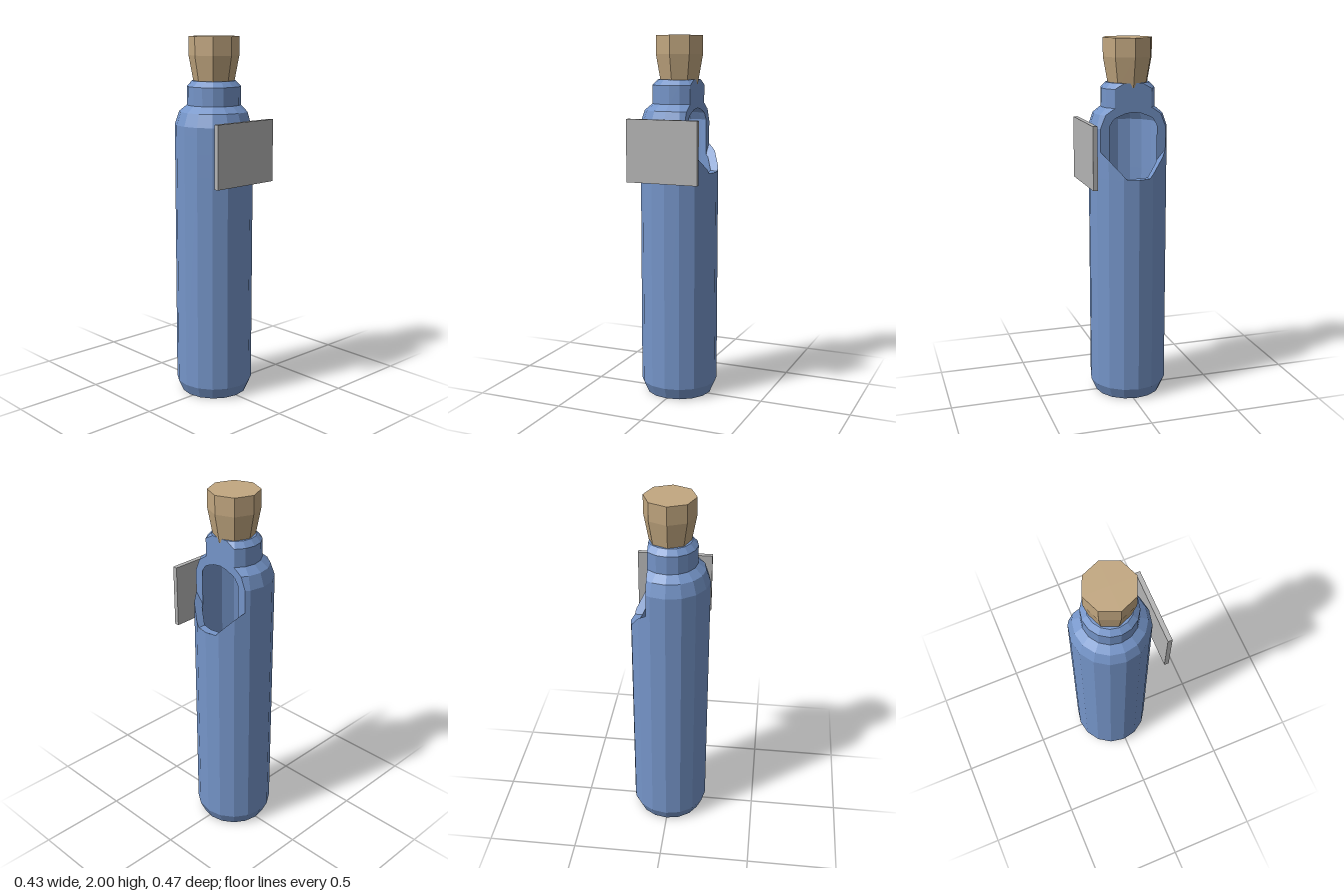
import * as THREE from 'three';

const SIDES = 16, CUT_X = 0.105, CUT_Y = 1.265, CAVITY_TOP = 1.612, TOP = 1.765;

// Profiles as [radius, height]
const outerProfile = [[0.185, 0], [0.214, 0.065], [0.214, 1.53], [0.19, 1.6], [0.147, 1.635], [0.147, 1.735], [0.118, TOP]];
const innerProfile = [[0.155, 0.06], [0.172, 0.12], [0.172, 1.54], [0.15, 1.58], [CUT_X, CAVITY_TOP]];

function radiusAt(profile, y) {
  for (let i = 1; i < profile.length; i++) {
    const [r0, y0] = profile[i - 1], [r1, y1] = profile[i];
    if (y <= y1) return r0 + (r1 - r0) * Math.max(0, (y - y0) / (y1 - y0));
  }
  return profile[profile.length - 1][0];
}

// Half width of the side opening at a height
function cutWidth(y) {
  if (y < CUT_Y) return 0;
  return y < 1.405 ? 0.0625 + (y - CUT_Y) / 0.14 * 0.12 : 0.3;
}

// Point on a regular polygon of the given circumradius
function polyPoint(r, angle, y) {
  const step = 2 * Math.PI / SIDES;
  const k = Math.floor(angle / step + 1e-9), t = angle - k * step;
  const d = r * Math.cos(step / 2) / Math.cos(t - step / 2);
  return [d * Math.cos(angle), y, d * Math.sin(angle)];
}

// Angle at which the wall meets the opening
function cutAngle(r, y) {
  const inside = (a) => { const p = polyPoint(r, a, y); return p[0] > CUT_X && p[2] < cutWidth(y); };
  if (!inside(0)) return 0;
  let lo = 0, hi = Math.PI / 2;
  for (let i = 0; i < 40; i++) {
    const mid = (lo + hi) / 2;
    if (inside(mid)) lo = mid; else hi = mid;
  }
  return lo;
}

function wallRow(r, y) {
  const a0 = cutAngle(r, y);
  return Array.from({ length: SIDES + 1 }, (_, i) =>
    polyPoint(r, Math.min(Math.max(i * 2 * Math.PI / SIDES, a0), 2 * Math.PI - a0), y));
}

// Surface through rows of points
function skin(rows, flip = false) {
  const pos = [];
  const tri = (a, b, c) => (flip ? pos.push(...a, ...c, ...b) : pos.push(...a, ...b, ...c));
  for (let j = 0; j + 1 < rows.length; j++) {
    for (let i = 0; i + 1 < rows[j].length; i++) {
      const a = rows[j][i], b = rows[j][i + 1], c = rows[j + 1][i], d = rows[j + 1][i + 1];
      tri(a, c, b);
      tri(b, c, d);
    }
  }
  const g = new THREE.BufferGeometry();
  g.setAttribute('position', new THREE.Float32BufferAttribute(pos, 3));
  g.computeVertexNormals();
  return g;
}

const mirrorZ = ([x, y, z]) => [x, y, -z];

export function createModel() {
  const model = new THREE.Group();
  const mat = (name, color) => Object.assign(new THREE.MeshStandardMaterial({ color, flatShading: true }), { name });
  const glass = mat('blue bottle', 0x7595c9);
  const corkMat = mat('cork tan', 0xc2a780);
  const labelMat = mat('label grey', 0xb4b4b4);
  const add = (parent, name, geometry, material) => {
    const m = new THREE.Mesh(geometry, material);
    m.name = name;
    parent.add(m);
    return m;
  };

  const bottle = new THREE.Group();
  bottle.name = 'bottle';
  bottle.position.z = -0.02;
  model.add(bottle);

  // Heights sampled around the opening, plus every profile height
  const cutHeights = [];
  for (let i = 0; i <= 36; i++) cutHeights.push(CUT_Y + i * 0.01);
  const heights = (profile) => [...new Set([...cutHeights, CUT_Y - 0.0001, 1.4049, ...profile.map((p) => p[1])])]
    .filter((y) => y >= profile[0][1] && y <= profile[profile.length - 1][1]).sort((a, b) => a - b);

  // Outer and inner walls with their end caps
  const wall = (profile, flip) => {
    const ys = heights(profile), end = ys[ys.length - 1];
    return skin([wallRow(0, ys[0]), ...ys.map((y) => wallRow(radiusAt(profile, y), y)), wallRow(0, end)], flip);
  };
  add(bottle, 'outerWall', wall(outerProfile, false), glass);
  add(bottle, 'innerWall', wall(innerProfile, true), glass);

  // Cut faces joining outer and inner walls on both sides of the opening
  const edge = (profile, y) => {
    const r = radiusAt(profile, y);
    return polyPoint(r, cutAngle(r, y), y);
  };
  const rimYs = [...new Set([...heights(outerProfile), CAVITY_TOP])].filter((y) => y >= CUT_Y).sort((a, b) => a - b);
  const rimRows = rimYs.map((y) => {
    const o = edge(outerProfile, y);
    let n = edge(innerProfile, y);
    if (y >= CAVITY_TOP) n = [CUT_X, y, 0];
    return [n, [n[0], y, o[2]], o];
  });
  rimRows.push([0, 1, 2].map(() => [0, TOP, 0]));
  add(bottle, 'openingRimFront', skin(rimRows), glass);
  add(bottle, 'openingRimBack', skin(rimRows.map((row) => row.map(mirrorZ).reverse())), glass);

  // Flat sill below the opening
  const sillRow = (profile) => {
    const e = edge(profile, CUT_Y);
    return [mirrorZ(e), [radiusAt(profile, CUT_Y), CUT_Y, 0], e];
  };
  add(bottle, 'openingSill', skin([sillRow(outerProfile), sillRow(innerProfile)]), glass);

  // Tapered eight-sided stopper
  const stopperUpper = new THREE.CylinderGeometry(0.137, 0.137, 0.1, 8, 1);
  const stopperLower = new THREE.CylinderGeometry(0.137, 0.107, 0.16, 8, 1);
  add(bottle, 'stopperUpper', stopperUpper, corkMat).position.y = 1.95;
  add(bottle, 'stopperLower', stopperLower, corkMat).position.y = 1.82;

  // Label plate standing off the front
  add(model, 'label', new THREE.BoxGeometry(0.408, 0.34, 0.025), labelMat).position.set(0, 1.39, 0.2185);

  return model;
}
